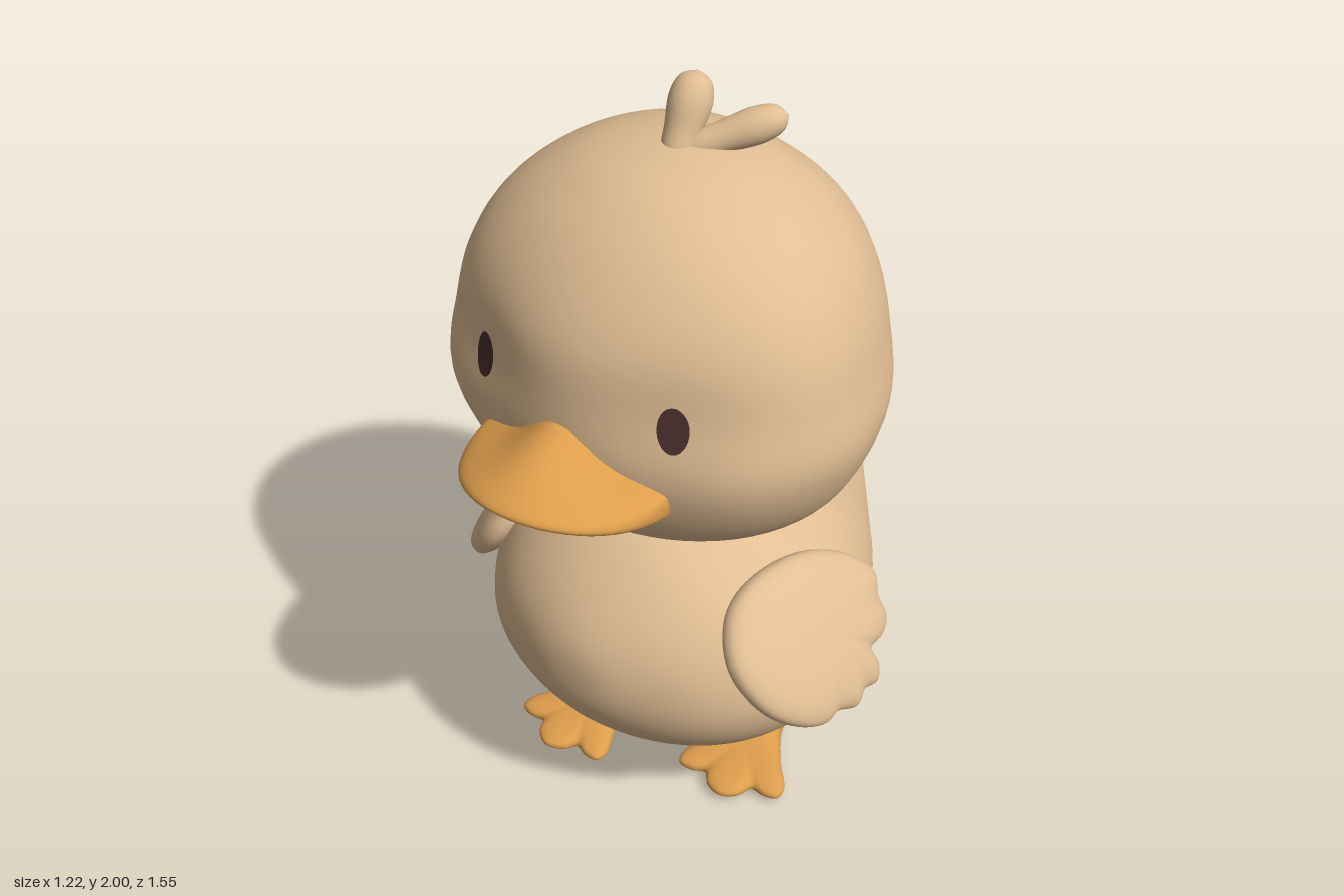
import * as THREE from 'three';
import { mergeVertices } from 'three/addons/utils/BufferGeometryUtils.js';

const V = (x, y, z) => new THREE.Vector3(x, y, z);

// Closed smooth surface from a grid of points; rows run pole to pole, columns wrap.
function surface(rows, cols, point) {
  const pos = [], index = [];
  for (let i = 0; i <= rows; i++)
    for (let j = 0; j < cols; j++) pos.push(...point(i / rows, (j / cols) * Math.PI * 2).toArray());
  for (let i = 0; i < rows; i++)
    for (let j = 0; j < cols; j++) {
      const k = (j + 1) % cols;
      const a = i * cols + j, b = i * cols + k, c = a + cols, d = b + cols;
      index.push(a, b, c, b, d, c);
    }
  // turn the faces outward
  let volume = 0;
  const p = (n) => V(pos[n * 3], pos[n * 3 + 1], pos[n * 3 + 2]);
  for (let n = 0; n < index.length; n += 3)
    volume += p(index[n]).dot(p(index[n + 1]).cross(p(index[n + 2])));
  if (volume < 0) index.reverse();
  let geo = new THREE.BufferGeometry();
  geo.setAttribute('position', new THREE.Float32BufferAttribute(pos, 3));
  geo.setIndex(index);
  geo = mergeVertices(geo, 1e-5);
  geo.computeVertexNormals();
  return geo;
}

// Sections are [station, middle, half width, plus side, minus side], with a pole at each end.
function loft(sections, place) {
  const flip = (s) => s.map((v, k) => (k < 2 ? v : -v));
  const n = sections.length;
  const all = [flip(sections[1]), ...sections, flip(sections[n - 2])];
  const at = (t) => {
    const i = Math.min(Math.floor(t * (n - 1)), n - 2), u = t * (n - 1) - i;
    return sections[0].map((_, k) => {
      const [a, b, c, d] = [0, 1, 2, 3].map((m) => all[i + m][k]);
      return b + 0.5 * u * (c - a + u * (2 * a - 5 * b + 4 * c - d + u * (3 * (b - c) + d - a)));
    });
  };
  return surface((n - 1) * 6, 64, (t, ang) => {
    const [station, mid, w, plus, minus] = at(t), s = Math.sin(ang);
    return place(station, w * Math.cos(ang), mid + s * (s > 0 ? plus : minus));
  });
}

// Plump pillow with a lobed outline; place(u, v, h) gets h from -1 (under) to 1 (over).
function pillow(outline, centre, place) {
  const curve = new THREE.CatmullRomCurve3(outline.map(([u, v]) => V(u, v, 0)), true);
  const ring = curve.getPoints(96);
  return surface(28, 96, (t, ang) => {
    const q = ring[Math.round((ang / (Math.PI * 2)) * 96)];
    const lat = (t - 0.5) * Math.PI, r = Math.pow(Math.max(0, Math.cos(lat)), 0.8);
    const h = Math.sign(lat) * Math.pow(Math.abs(Math.sin(lat)), 0.8);
    return place(centre[0] + (q.x - centre[0]) * r, centre[1] + (q.y - centre[1]) * r, h);
  });
}

export function createModel() {
  const model = new THREE.Group();
  const material = (name, color) => {
    const m = new THREE.MeshStandardMaterial({ color });
    m.name = name;
    return m;
  };
  const down = material('tan down', 0xe1be94);
  const orange = material('orange', 0xdd9d4c);
  const dark = material('dark brown', 0x4c2f2f);
  const add = (name, geo, mat, parent = model) => {
    const mesh = new THREE.Mesh(geo, mat);
    mesh.name = name;
    parent.add(mesh);
    return mesh;
  };

  // Body, lofted from breast to tail tip
  add('bodyAndTail', loft([
    [0.567, 0.57, 0, 0, 0], [0.55, 0.57, 0.13, 0.12, 0.11], [0.47, 0.55, 0.305, 0.26, 0.215],
    [0.35, 0.53, 0.42, 0.385, 0.295], [0.2, 0.52, 0.487, 0.445, 0.35], [0.05, 0.52, 0.505, 0.45, 0.36],
    [-0.1, 0.52, 0.47, 0.425, 0.352], [-0.25, 0.535, 0.395, 0.34, 0.325], [-0.4, 0.56, 0.295, 0.225, 0.265],
    [-0.55, 0.6, 0.19, 0.12, 0.195], [-0.68, 0.645, 0.1, 0.06, 0.115],
    [-0.755, 0.675, 0.045, 0.033, 0.055], [-0.78, 0.685, 0, 0, 0],
  ], (z, x, y) => V(x, y, z)), down);

  // Head, lofted from neck to crown, with full cheeks and shallow eye hollows
  const bump = (a, b, r) => Math.exp(-(a * a + b * b) / (r * r));
  const head = add('head', loft([
    [0.925, 0.11, 0, 0, 0], [0.94, 0.11, 0.22, 0.2, 0.2], [1.0, 0.12, 0.37, 0.31, 0.33],
    [1.1, 0.14, 0.48, 0.375, 0.45], [1.27, 0.16, 0.545, 0.4, 0.54], [1.42, 0.16, 0.525, 0.395, 0.55],
    [1.55, 0.15, 0.49, 0.38, 0.515], [1.67, 0.13, 0.425, 0.33, 0.43], [1.77, 0.11, 0.32, 0.255, 0.305],
    [1.84, 0.09, 0.18, 0.155, 0.17], [1.867, 0.08, 0, 0, 0],
  ], (y, x, z) => {
    const front = THREE.MathUtils.smoothstep(z, 0.2, 0.4);
    const hollow = 0.026 * bump(Math.abs(x) - 0.27, y - 1.44, 0.16);
    const cheek = 0.015 * bump(Math.abs(x) - 0.42, y - 1.24, 0.13);
    return V(x, y, z + front * (cheek - hollow));
  }), down);

  // Eyes: thin ovals laid on the face
  const ray = new THREE.Raycaster();
  for (const side of [1, -1]) {
    const geo = new THREE.CircleGeometry(1, 32);
    geo.scale(0.033, 0.056, 1).rotateZ(side * 0.12).translate(side * 0.258, 1.413, 0);
    const p = geo.attributes.position;
    for (let i = 0; i < p.count; i++) {
      ray.set(V(p.getX(i), p.getY(i), 2), V(0, 0, -1));
      const hit = ray.intersectObject(head)[0];
      p.setZ(i, (hit ? hit.point.z : 0.49) + 0.005);
    }
    geo.computeVertexNormals();
    add(side > 0 ? 'leftEye' : 'rightEye', geo, dark);
  }

  // Bill: humped upper half with drooping corners, oval lower half
  add('upperBill', surface(32, 64, (t, ang) => {
    // rows sweep from corner to corner, columns go round the lip
    const a = t * Math.PI, u = Math.cos(a), reach = Math.sin(a);
    const s = Math.sin(ang), fwd = Math.cos(ang);
    const z = 0.5 + reach * (fwd > 0 ? 0.275 : 0.1) * fwd;
    const x = 0.257 * u;
    const near = Math.max(0, Math.min(1, (0.775 - z) / 0.22));
    const hump = 0.082 * Math.exp(-((x / 0.1) ** 2)) * Math.pow(near, 0.85);
    const mid = 1.213 + 0.035 * (1 - u * u) + 0.015 * (1 - near) * reach;
    const lip = 0.045 * Math.pow(Math.max(0, reach), 0.3);
    return V(x, mid + s * (s > 0 ? lip + hump : lip), z);
  }), orange);
  const lower = add('lowerBill', new THREE.SphereGeometry(1, 40, 24), orange);
  lower.scale.set(0.215, 0.07, 0.165);
  lower.position.set(0, 1.2, 0.52);

  // Head tufts: club-shaped feathers
  const tuft = (name, from, to, r) => {
    const len = from.distanceTo(to);
    const profile = new THREE.SplineCurve([[0, 0], [0.7, 0.05], [0.85, 0.35], [1, 0.68], [0.72, 0.91], [0, 1]]
      .map(([x, y]) => new THREE.Vector2(x * r, y * len))).getPoints(30);
    profile.forEach((q) => { q.x = Math.max(0, q.x); });
    const mesh = add(name, new THREE.LatheGeometry(profile, 28), down);
    mesh.position.copy(from);
    mesh.quaternion.setFromUnitVectors(V(0, 1, 0), to.clone().sub(from).normalize());
  };
  tuft('uprightTuft', V(0.012, 1.82, 0.115), V(0.012, 2.0, 0.02), 0.05);
  tuft('sideTuft', V(0.03, 1.845, 0.09), V(0.205, 1.92, -0.045), 0.042);

  // Wings: tilted pillows with feather lobes, outline in (z, y)
  const wingOutline = [
    [0.27, 0.85], [0.38, 0.81], [0.445, 0.72], [0.43, 0.62], [0.37, 0.55], [0.3, 0.515],
    [0.25, 0.518], [0.19, 0.497], [0.15, 0.515], [0.1, 0.51], [0.075, 0.54], [0.075, 0.58],
    [0.02, 0.59], [-0.02, 0.62], [-0.025, 0.67], [-0.05, 0.72], [-0.01, 0.78], [0.1, 0.84],
  ];
  for (const side of [1, -1]) {
    const shift = side > 0 ? 0 : -0.07;
    add(side > 0 ? 'leftWing' : 'rightWing', pillow(wingOutline, [0.2, 0.69], (z, y, h) => {
      const drop = 0.86 - y;
      const x = 0.335 + 0.77 * drop - 0.2 * drop * drop - 0.22 * (z - 0.2) * (1 - drop);
      return V(side * (x + 0.052 * h), y + 0.032 * h, z + shift);
    }), down);
  }

  // Legs with webbed feet, one a step ahead of the other
  const footOutline = [
    [0, -0.065], [0.05, -0.045], [0.07, 0.03], [0.108, 0.12], [0.152, 0.2], [0.147, 0.235], [0.11, 0.243],
    [0.07, 0.235], [0.045, 0.272], [0, 0.292], [-0.045, 0.272], [-0.07, 0.235], [-0.11, 0.243],
    [-0.147, 0.235], [-0.152, 0.2], [-0.108, 0.12], [-0.07, 0.03], [-0.05, -0.045],
  ];
  const shin = new THREE.SplineCurve([[0.06, 0.03], [0.045, 0.08], [0.036, 0.125], [0.04, 0.18], [0.046, 0.26]]
    .map(([x, y]) => new THREE.Vector2(x, y))).getPoints(20);
  for (const side of [1, -1]) {
    const leg = new THREE.Group();
    leg.name = side > 0 ? 'leftLeg' : 'rightLeg';
    leg.position.set(side * 0.208, 0, side > 0 ? -0.01 : 0.11);
    leg.rotation.y = side * 0.15;
    model.add(leg);
    add('shin', new THREE.LatheGeometry(shin, 28), orange, leg);
    add('webbedFoot', pillow(footOutline, [0, 0.1], (x, z, h) => {
      const rise = 0.032 + 0.03 * Math.exp(-((z / 0.1) ** 2));
      return V(x, 0.027 + (h > 0 ? rise : 0.027) * h, z);
    }), orange, leg);
  }
  return model;
}
